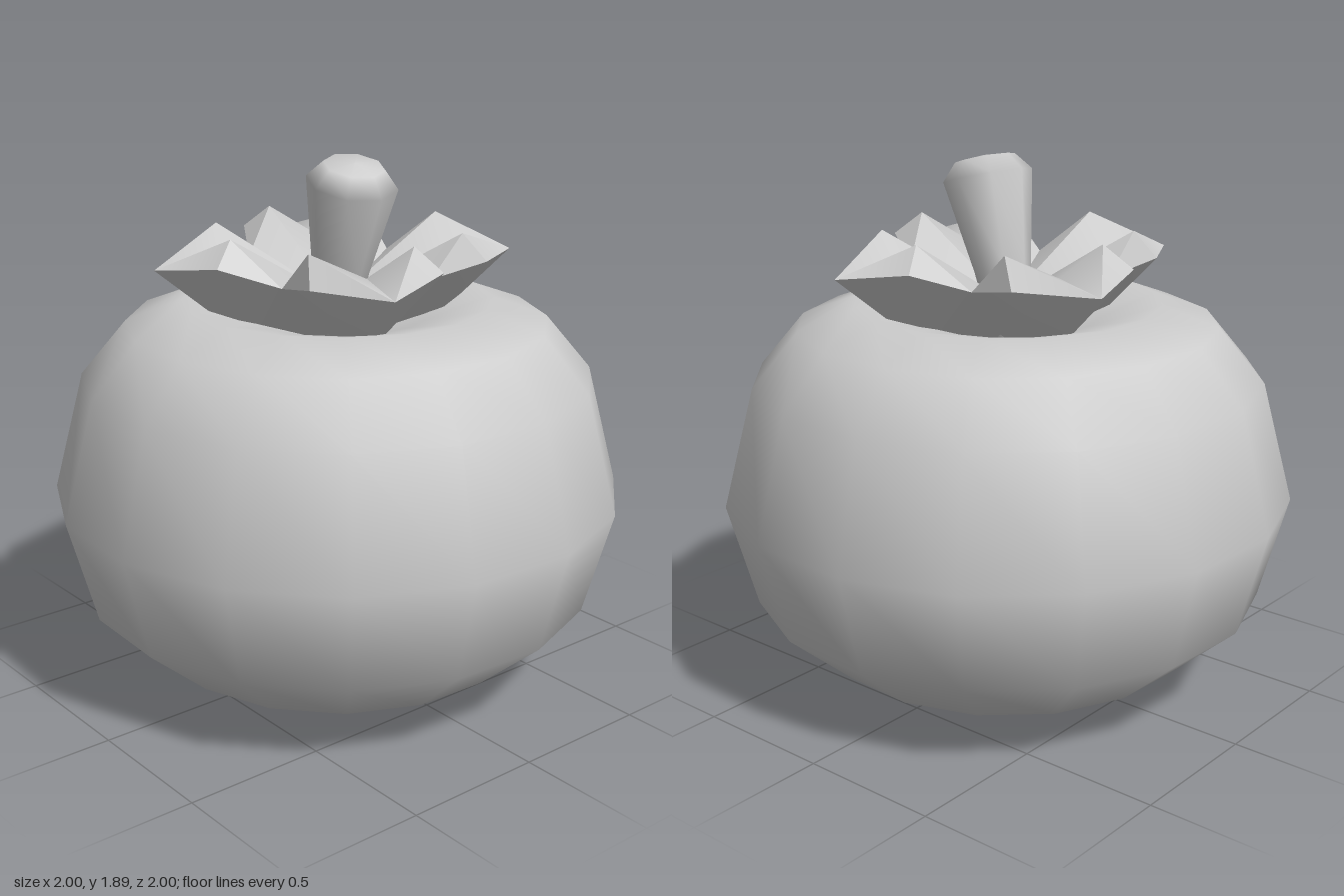
import * as THREE from 'three';
import { toCreasedNormals } from 'three/addons/utils/BufferGeometryUtils.js';

const grey = new THREE.MeshStandardMaterial({ color: 0xcccccc });
grey.name = 'plain grey';

function lathe(name, profile, segments, phiStart) {
  const points = profile.map(([r, y]) => new THREE.Vector2(r, y));
  const mesh = new THREE.Mesh(new THREE.LatheGeometry(points, segments, phiStart), grey);
  mesh.name = name;
  return mesh;
}

// One thick, cupped sepal with raised side lips and a keeled underside
function sepalGeometry() {
  const root = [0, 0, 0], rootTop = [0, 1.38, 0], rootLow = [0, 1.22, 0];
  const middle = [-0.17, 1.54, 0.36], keel = [-0.13, 1.25, 0.29];
  const lipA = [-0.34, 1.63, 0.27], lipB = [-0.03, 1.64, 0.43];
  const rim = [
    [-0.34, 1.49, 0.13], [-0.39, 1.53, 0.34], [-0.25, 1.52, 0.59],
    [0.02, 1.56, 0.52], [0.13, 1.49, 0.34],
  ];
  const [cornerA, sideA, tip, sideB, cornerB] = rim;
  const faces = [
    // upper side
    [rootTop, cornerA, lipA], [rootTop, lipA, middle],
    [rootTop, middle, lipB], [rootTop, lipB, cornerB],
    [cornerA, sideA, lipA], [sideA, tip, lipA], [lipA, tip, middle],
    [middle, tip, lipB], [tip, sideB, lipB], [sideB, cornerB, lipB],
    // inner flanks
    [rootTop, rootLow, cornerA], [rootTop, cornerB, rootLow],
    [rootLow, keel, cornerA], [rootLow, cornerB, keel],
  ];
  // underside
  for (let i = 0; i < rim.length - 1; i++) faces.push([keel, rim[i + 1], rim[i]]);
  const geometry = new THREE.BufferGeometry();
  geometry.setAttribute('position', new THREE.Float32BufferAttribute(faces.flat(2), 3));
  return toCreasedNormals(geometry, 0.6);
}

export function createModel() {
  const model = new THREE.Group();
  model.name = 'persimmon';

  // Squat fruit with a shallow hollow on top
  model.add(lathe('fruit', [
    [0, 0], [0.35, 0.015], [0.67, 0.12], [0.91, 0.33], [1.01, 0.7],
    [0.9, 1.12], [0.74, 1.31], [0.54, 1.385], [0.32, 1.33], [0, 1.22],
  ], 16, 0.147));

  // Four sepals around the stem
  const calyx = new THREE.Group();
  calyx.name = 'calyx';
  const geometry = sepalGeometry();
  for (let i = 0; i < 4; i++) {
    const sepal = new THREE.Mesh(geometry, grey);
    sepal.name = 'sepal';
    sepal.rotation.y = i * Math.PI / 2;
    calyx.add(sepal);
  }
  model.add(calyx);

  // Leaning stem that widens to a rounded end
  const stem = lathe('stem', [
    [0, 0], [0.075, 0], [0.1, 0.25], [0.157, 0.574], [0.105, 0.635], [0, 0.645],
  ], 8, 0);
  stem.position.set(-0.03, 1.25, 0);
  stem.quaternion.setFromUnitVectors(
    new THREE.Vector3(0, 1, 0), new THREE.Vector3(0.145, 0.555, 0.03).normalize());
  model.add(stem);

  return model;
}
